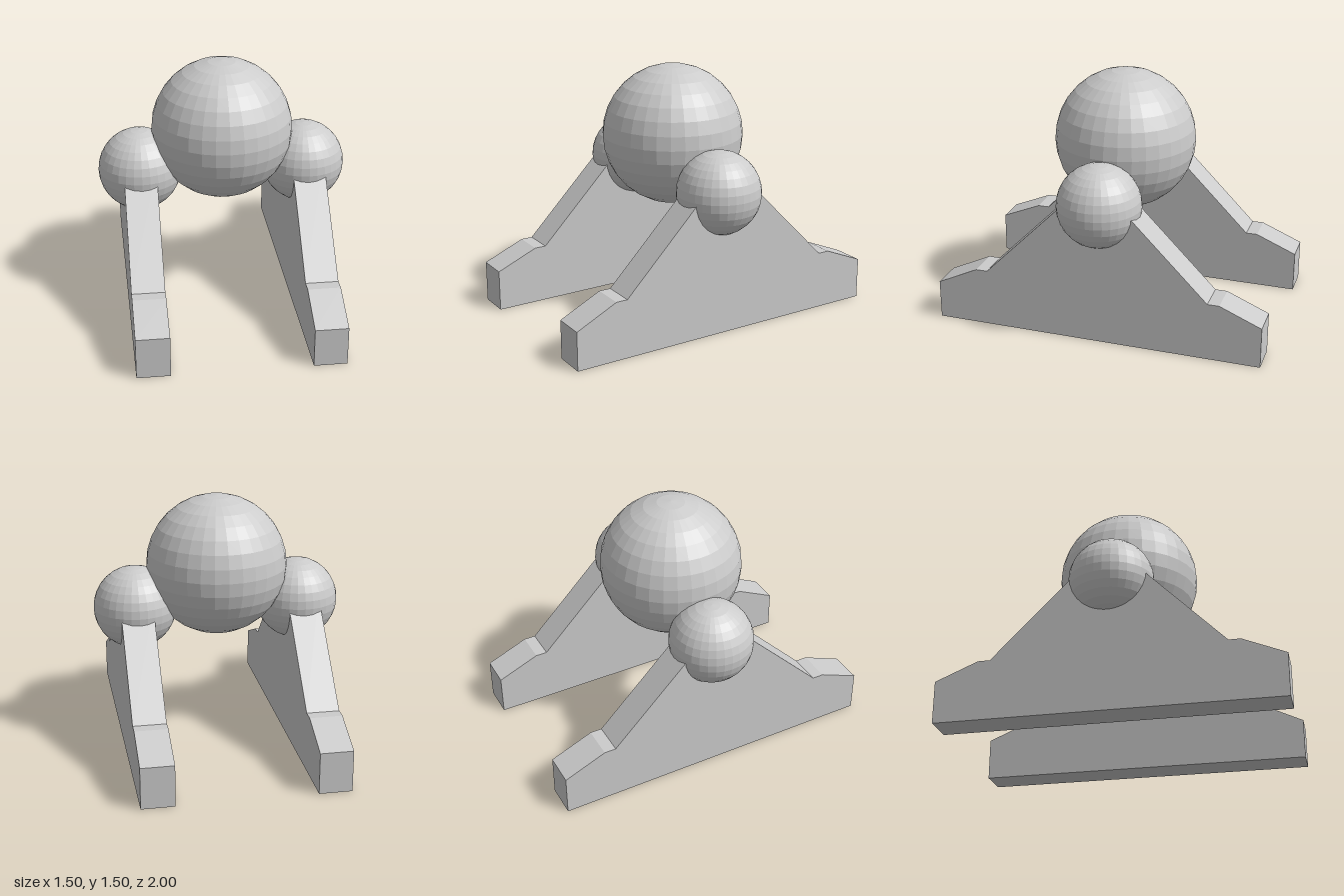
import * as THREE from 'three';

const material = new THREE.MeshStandardMaterial({ color: 0xcccccc, flatShading: true });

function ball(name, radius, x, y) {
  const mesh = new THREE.Mesh(new THREE.SphereGeometry(radius, 32, 16), material);
  mesh.name = name;
  mesh.position.set(x, y, 0);
  return mesh;
}

// Runner: a side profile drawn in (z, y), extruded across x
function runner(name, x, frontHeight) {
  const width = 0.195;
  const profile = [
    [-1, 0], [1, 0], [1, frontHeight], [0.75, 0.355], [0.68, 0.355], [0.15, 0.89],
    [-0.15, 0.89], [-0.68, 0.355], [-0.75, 0.355], [-1, 0.25],
  ];
  const shape = new THREE.Shape(profile.map(([z, y]) => new THREE.Vector2(-z, y)));
  const geometry = new THREE.ExtrudeGeometry(shape, { depth: width, bevelEnabled: false });
  geometry.translate(0, 0, -width / 2);
  geometry.rotateY(Math.PI / 2); // profile -z becomes shape x, depth becomes x
  const mesh = new THREE.Mesh(geometry, material);
  mesh.name = name;
  mesh.position.x = x;
  return mesh;
}

export function createModel() {
  const model = new THREE.Group();
  model.name = 'ballsOnRunners';

  // Large central body
  model.add(ball('body', 0.425, 0, 1.08));

  // Shoulder ball and runner on each side; the left toe is slightly lower
  for (const [side, s, toe] of [['left', 1, 0.235], ['right', -1, 0.25]]) {
    model.add(ball(`${side}Shoulder`, 0.25, s * 0.5, 0.835));
    model.add(runner(`${side}Runner`, s * 0.506, toe));
  }
  return model;
}
